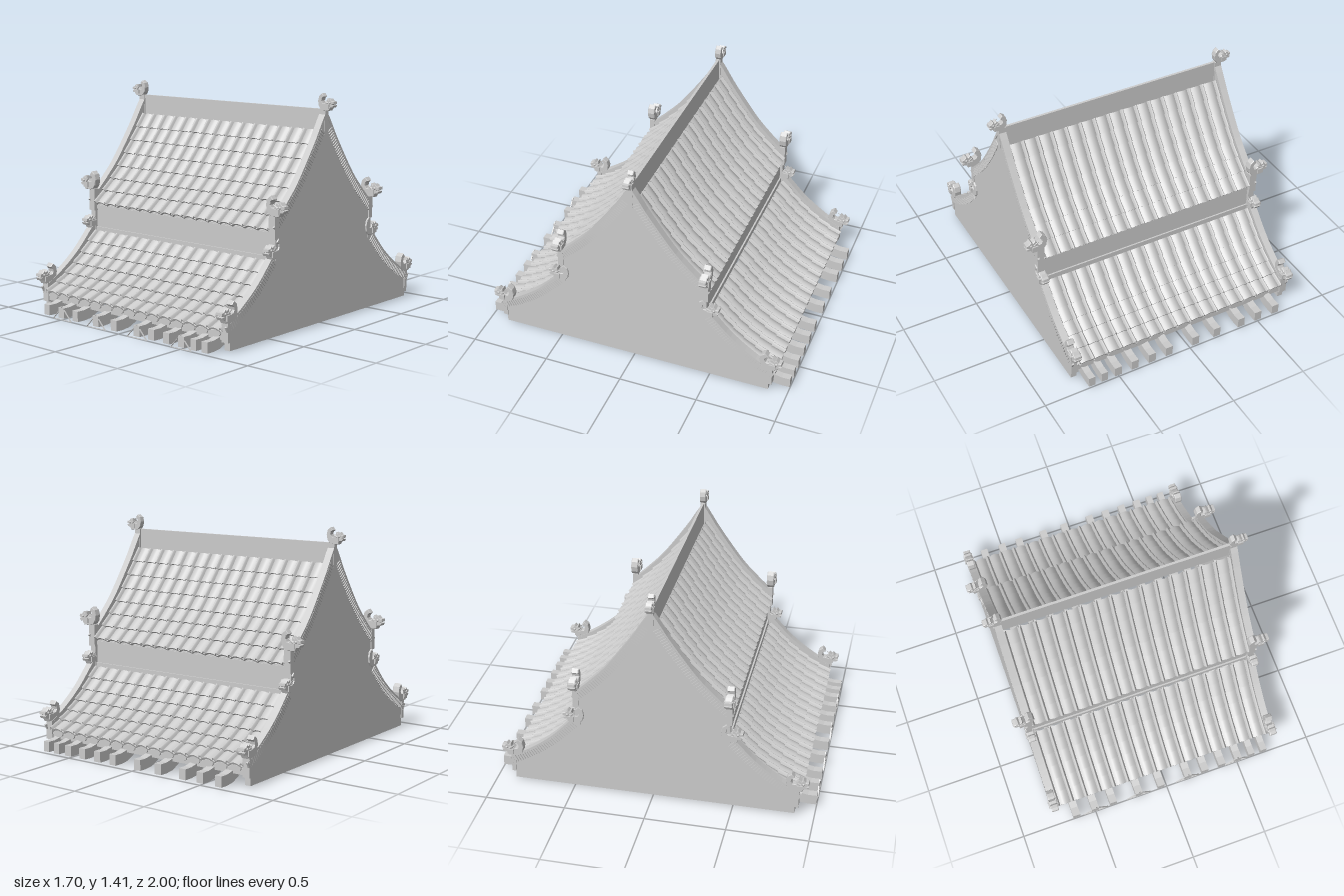
import * as THREE from 'three';

const mat = new THREE.MeshStandardMaterial({ color: 0xcccccc });
const thin = new THREE.MeshStandardMaterial({ color: 0xcccccc, side: THREE.DoubleSide });

// Curves given as (z, y) points; slopes run from the top down to the eave
const curveOf = pts => new THREE.CatmullRomCurve3(pts.map(([z, y]) => new THREE.Vector3(0, y, z)));
const upper = curveOf([[0.012, 1.195], [0.1, 1.06], [0.25, 0.86], [0.36, 0.745], [0.467, 0.645]]);
const lower = curveOf([[0.465, 0.465], [0.62, 0.31], [0.77, 0.2], [0.9, 0.13]]);
// Beams flare out at both eaves and lift towards the middle
const beamHalf = [[1, 0.0625], [0.9, 0.068], [0.76, 0.15], [0.62, 0.245], [0.48, 0.34], [0.3, 0.4]];
const beamCurve = curveOf([...beamHalf.map(([z, y]) => [-z, y]), [0, 0.415], ...beamHalf.slice().reverse()]);

// Points along a curve, offset by a thickness measured across it
function zy(curve, offset, n = 14) {
  return Array.from({ length: n + 1 }, (_, i) => {
    const p = curve.getPointAt(i / n), d = curve.getTangentAt(i / n);
    return [p.z, p.y + offset / d.z];
  });
}

function add(parent, name, geo, x = 0, y = 0, z = 0, material = mat) {
  const m = new THREE.Mesh(geo, material);
  m.name = name;
  m.position.set(x, y, z);
  parent.add(m);
  return m;
}
const box = (w, h, d) => new THREE.BoxGeometry(w, h, d);

// Solid with a (z, y) outline, reaching from x0 to x1
function slab(points, x0, x1) {
  const shape = new THREE.Shape(points.map(p => new THREE.Vector2(p[0], p[1])));
  const g = new THREE.ExtrudeGeometry(shape, { depth: x1 - x0, bevelEnabled: false });
  return g.rotateY(-Math.PI / 2).translate(x1, 0, 0);
}
const band = (curve, lo, hi, x0, x1, n) =>
  slab([...zy(curve, hi, n), ...zy(curve, lo, n).reverse()], x0, x1);

// Column of overlapping arched tiles, each lifted at its lower end
function tileColumn(curve, x, width, arch, rows, base) {
  const pos = [], idx = [], N = 8;
  for (let r = 0; r < rows; r++) {
    const rings = [[0, 0], [0.5, 0.005], [1, 0.01], [1, 0.01], [1, -0.002]];
    const start = pos.length / 3;
    rings.forEach(([f, lift], j) => {
      const t = (r + f) / rows, p = curve.getPointAt(t), d = curve.getTangentAt(t);
      for (let i = 0; i <= N; i++) {
        const h = base + lift + arch * Math.sin(Math.PI * i / N);
        pos.push(x + width * (i / N - 0.5), p.y + d.z * h, p.z - d.y * h);
        if (j < rings.length - 1 && j !== 2 && i < N) {
          const k = start + j * (N + 1) + i;
          idx.push(k, k + N + 1, k + 1, k + 1, k + N + 1, k + N + 2);
        }
      }
    });
  }
  const g = new THREE.BufferGeometry();
  g.setAttribute('position', new THREE.Float32BufferAttribute(pos, 3));
  g.setIndex(idx);
  g.computeVertexNormals();
  return g;
}

function tiledSlope(parent, name, curve, rows) {
  const g = new THREE.Group();
  g.name = name;
  const cols = 15, step = 1.45 / cols;
  for (let c = 0; c <= cols; c++) {
    const x = -0.725 + c * step;
    add(g, 'rollTiles', tileColumn(curve, x, 0.026, 0.02, rows, 0.01), 0, 0, 0, thin);
    if (c < cols) add(g, 'panTiles', tileColumn(curve, x + step / 2, step, 0.024, rows, 0), 0, 0, 0, thin);
  }
  parent.add(g);
}

// Crouching beast finial: open-jawed head towards +x, curled tail behind
function beast() {
  const g = new THREE.Group();
  g.name = 'beastFinial';
  const outline = [[-1, 0], [2.6, 0], [3.4, 1.7], [5.1, 1.9], [5.6, 2.8], [4.2, 3.1], [5.7, 3.8], [5.6, 4.8],
    [4.3, 5], [3.3, 6.2], [2.5, 5.3], [1.3, 6.3], [1.1, 4.9], [-0.4, 3.5], [-1.9, 3.7], [-2.6, 5], [-2.3, 6.5],
    [-1.1, 7.5], [-2.3, 8.9], [-4, 7.6], [-4.7, 5], [-4.2, 2.2], [-3, 0.6]];
  const shape = new THREE.Shape(outline.map(p => new THREE.Vector2(p[0] * 0.01, p[1] * 0.01)));
  const body = new THREE.ExtrudeGeometry(shape, { depth: 0.028, bevelSize: 0.002, bevelThickness: 0.004, bevelSegments: 1 });
  add(g, 'beastBody', body, 0, 0, -0.014);
  for (const s of [-1, 1]) {
    add(g, 'beastEye', new THREE.SphereGeometry(0.007, 10, 8), 0.034, 0.042, s * 0.017);
    add(g, 'beastCheek', box(0.03, 0.026, 0.01), 0.015, 0.022, s * 0.02);
    const ear = add(g, 'beastEar', new THREE.ConeGeometry(0.008, 0.032, 6), 0.006, 0.048, s * 0.018);
    ear.rotation.set(s * 0.3, 0, 0.9);
  }
  return g;
}
function placeBeast(parent, x, y, z, turn, size) {
  const b = beast();
  b.position.set(x, y, z);
  b.rotation.y = turn;
  b.scale.setScalar(size);
  parent.add(b);
}

// Verge running down one end of a slope, its outer edge finely ribbed
function verge(parent, curve, s) {
  const mid = s * 0.7505;
  add(parent, 'vergeBand', band(curve, -0.005, 0.045, mid - 0.0175, mid + 0.0175));
  add(parent, 'vergeCap', band(curve, 0.045, 0.06, mid - 0.0225, mid + 0.0225));
  const n = Math.round(curve.getLength() / 0.018);
  for (let i = 0; i < n; i++) {
    const t = (i + 0.5) / n, p = curve.getPointAt(t), d = curve.getTangentAt(t);
    const rib = add(parent, 'vergeTile', box(0.012, 0.045, 0.011), s * 0.769, p.y + 0.024 * d.z, p.z - 0.024 * d.y);
    rib.rotation.x = Math.atan2(-d.y, d.z);
  }
}

function roofHalf() {
  const g = new THREE.Group();
  g.name = 'roofHalf';
  tiledSlope(g, 'upperTiles', upper, 7);
  tiledSlope(g, 'lowerTiles', lower, 6);

  // Wall between the two tiers
  add(g, 'tierWall', box(1.46, 0.2, 0.02), 0, 0.55, 0.45);
  add(g, 'tierWallTopRail', box(1.46, 0.025, 0.03), 0, 0.632, 0.452);
  add(g, 'tierWallBottomRail', box(1.46, 0.035, 0.03), 0, 0.485, 0.455);

  // Eave board and drip tiles
  add(g, 'eaveBoard', box(1.46, 0.035, 0.025), 0, 0.107, 0.88);
  for (let c = 0; c < 15; c++) {
    const drip = add(g, 'dripTile', new THREE.CylinderGeometry(0.04, 0.04, 0.01, 16), -0.725 + (c + 0.5) * 1.45 / 15, 0.125, 0.9);
    drip.rotation.x = Math.PI / 2;
    drip.scale.z = 0.5;
  }

  for (const s of [-1, 1]) {
    verge(g, upper, s);
    verge(g, lower, s);
    add(g, 'upperEndPost', box(0.048, 0.14, 0.035), s * 0.751, 0.68, 0.47);
    add(g, 'tierCornerPost', box(0.04, 0.13, 0.03), s * 0.75, 0.55, 0.462);
    add(g, 'lowerEndPost', box(0.048, 0.12, 0.028), s * 0.75, 0.14, 0.888);
    placeBeast(g, s * 0.772, 0.748, 0.472, s > 0 ? 0 : Math.PI, 1.28);
    placeBeast(g, s * 0.756, 0.5, 0.482, -Math.PI / 2, 1.25);
    placeBeast(g, s * 0.754, 0.2, 0.883, -Math.PI / 2, 1.3);
  }
  return g;
}

export function createModel() {
  const model = new THREE.Group();
  model.name = 'tieredRoof';

  const front = roofHalf(), back = roofHalf();
  back.rotation.y = Math.PI;
  model.add(front, back);

  // Gable walls
  const side = [...zy(upper, 0.005), ...zy(lower, 0.003)].filter(p => p[0] < 0.88);
  const gable = [[-0.88, 0.03], [0.88, 0.03], [0.88, 0.13], ...side.slice().reverse(),
    [0, 1.25], ...side.map(([z, y]) => [-z, y]), [-0.88, 0.13]];
  add(model, 'leftGable', slab(gable, 0.73, 0.768));
  add(model, 'rightGable', slab(gable, -0.768, -0.73));

  // Main ridge with its end posts and finials
  add(model, 'ridgeBoard', box(1.46, 0.15, 0.016), 0, 1.255, 0);
  for (const s of [-1, 1]) {
    add(model, 'ridgeEndPost', box(0.045, 0.15, 0.032), s * 0.7505, 1.255, 0);
    placeBeast(model, s * 0.772, 1.325, 0, s > 0 ? 0 : Math.PI, 1.08);
  }

  // Curved beams under the roof, their ends showing at both eaves
  for (const x of [-0.63, -0.5, -0.375, -0.195, -0.04, 0.15, 0.27, 0.39, 0.505, 0.6, 0.685]) {
    const half = x > 0.55 ? 0.021 : 0.024;
    add(model, 'beam', band(beamCurve, -0.0325, 0.0325, x - half, x + half, 40));
  }

  // Open triangular frames hanging at the front eave
  for (const x of [-0.495, -0.195, 0.15, 0.5]) {
    const tri = (P, k) => new P([[-0.082, 0.018], [0.082, 0.018], [0, 0.105]].map(([a, b]) => new THREE.Vector2(a * k, 0.045 + (b - 0.045) * k)));
    const frame = tri(THREE.Shape, 1);
    frame.holes.push(tri(THREE.Path, 0.92));
    add(model, 'eaveFrame', new THREE.ExtrudeGeometry(frame, { depth: 0.008, bevelEnabled: false }), x, 0, 0.992);
  }
  return model;
}
